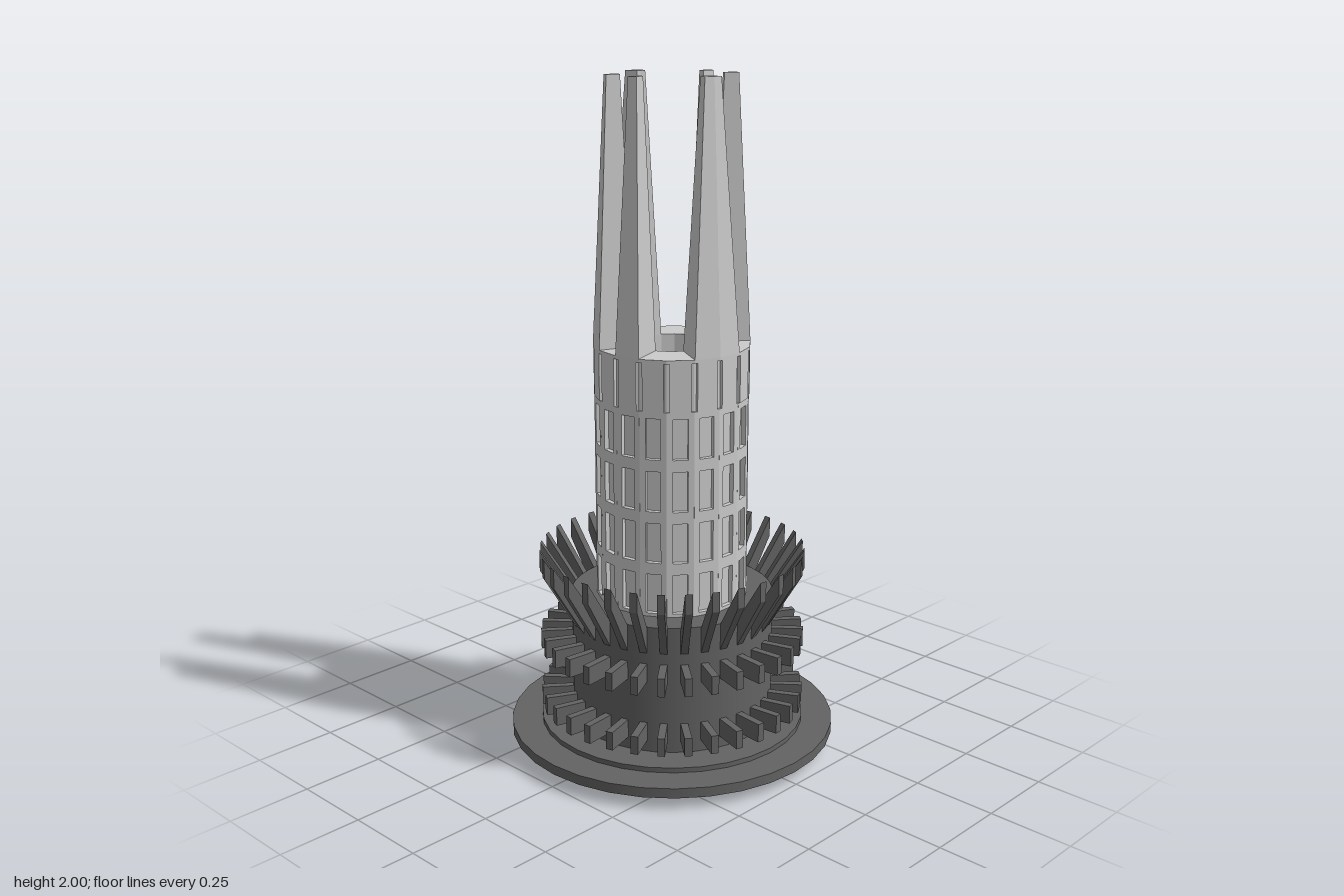
import * as THREE from 'three';

const DEG = Math.PI / 180;
const SIDES = 18;   // facets of the tower
const TEETH = 32;   // teeth and blades round the base
const grey = new THREE.MeshStandardMaterial({ color: 0xcccccc, flatShading: true });
const dark = new THREE.MeshStandardMaterial({ color: 0x636363 });
const darkFlat = new THREE.MeshStandardMaterial({ color: 0x636363, flatShading: true });

function add(parent, name, geometry, material) {
  const mesh = new THREE.Mesh(geometry, material);
  mesh.name = name;
  parent.add(mesh);
  return mesh;
}

const polar = (r, deg) => new THREE.Vector2(r * Math.cos(deg * DEG), r * Math.sin(deg * DEG));

function ngon(r) {
  return Array.from({ length: SIDES }, (_, i) => polar(r, i * 360 / SIDES));
}

// Extrudes a plan outline upwards from y0 to y1
function upright(shape, y0, y1) {
  return new THREE.ExtrudeGeometry(shape, { depth: y1 - y0, bevelEnabled: false })
    .rotateX(-Math.PI / 2).translate(0, y0, 0);
}

// Faceted hollow ring
function tube(rOut, rIn, y0, y1) {
  const shape = new THREE.Shape(ngon(rOut));
  shape.holes.push(new THREE.Path(ngon(rIn)));
  return upright(shape, y0, y1);
}

// Places copies of one geometry round the axis, starting half a step in
function ringOf(parent, name, geometry, material, count) {
  const ring = new THREE.Group();
  ring.name = name + 'Ring';
  for (let i = 0; i < count; i++) {
    add(ring, name, geometry, material).rotation.y = (i + 0.5) * 2 * Math.PI / count;
  }
  parent.add(ring);
}

// Tapered spike standing on the tower facets between two angles
function spikeGeometry(from, to) {
  const step = 360 / SIDES, y0 = 1.235, y1 = 2, taper = 0.36;
  const outer = [], inner = [];
  for (let a = from; a <= to; a += step) {
    outer.push(polar(0.23, a));
    inner.unshift(polar(0.115, a));
  }
  const geo = upright(new THREE.Shape([...outer, ...inner]), y0, y1);
  const c = polar(0.172, (from + to) / 2);
  const p = geo.attributes.position;
  for (let i = 0; i < p.count; i++) {
    if (p.getY(i) < (y0 + y1) / 2) continue;
    p.setX(i, c.x + (p.getX(i) - c.x) * taper);
    p.setZ(i, -c.y + (p.getZ(i) + c.y) * taper);
  }
  geo.computeVertexNormals();
  return geo;
}

export function createModel() {
  const model = new THREE.Group();
  model.name = 'tower';

  // Base: drum and stepped discs
  const disc = (name, r, y0, y1) =>
    add(model, name, new THREE.CylinderGeometry(r, r, y1 - y0, 32).translate(0, (y0 + y1) / 2, 0), dark);
  disc('baseDrum', 0.305, 0, 0.47);
  disc('innerFlange', 0.4, 0.02, 0.08);
  disc('outerFlange', 0.492, 0.035, 0.065);

  // Two rows of square teeth
  for (const y of [0.143, 0.328]) {
    ringOf(model, 'tooth', new THREE.BoxGeometry(0.11, 0.056, 0.022).translate(0.343, y, 0), darkFlat, TEETH);
  }

  // Flared blades round the rim of the drum
  const blade = new THREE.Shape([
    new THREE.Vector2(0.295, 0.375), new THREE.Vector2(0.398, 0.55),
    new THREE.Vector2(0.398, 0.61), new THREE.Vector2(0.295, 0.455),
  ]);
  const bladeGeo = new THREE.ExtrudeGeometry(blade, { depth: 0.022, bevelEnabled: false }).translate(0, 0, -0.011);
  ringOf(model, 'blade', bladeGeo, darkFlat, TEETH);

  // Hollow shaft with a frame of recessed windows
  add(model, 'shaftCore', tube(0.213, 0.115, 0.465, 1.085), grey);
  const half = 0.227 * Math.tan(10 * DEG) * 0.985;
  const panel = new THREE.Shape([
    new THREE.Vector2(-half, 0.465), new THREE.Vector2(half, 0.465),
    new THREE.Vector2(half, 1.085), new THREE.Vector2(-half, 1.085),
  ]);
  for (let row = 0; row < 4; row++) {
    const y = 0.48 + row * 0.155, w = 0.022, h = 0.12;
    panel.holes.push(new THREE.Path([
      new THREE.Vector2(-w, y), new THREE.Vector2(-w, y + h),
      new THREE.Vector2(w, y + h), new THREE.Vector2(w, y),
    ]));
  }
  const panelGeo = new THREE.ExtrudeGeometry(panel, { depth: 0.018, bevelEnabled: false })
    .translate(0, 0, 0.206).rotateY(Math.PI / 2);
  ringOf(model, 'windowPanel', panelGeo, grey, SIDES);

  // Collar with narrow grooves at the corners, closed by a cap
  add(model, 'collarCore', tube(0.22, 0.115, 1.085, 1.225), grey);
  ringOf(model, 'collarPanel', new THREE.BoxGeometry(0.02, 0.14, 0.062).translate(0.216, 1.155, 0), grey, SIDES);
  add(model, 'collarCap', tube(0.23, 0.115, 1.225, 1.235), grey);

  // Crown of spikes, the same on opposite sides
  const spikes = new THREE.Group();
  spikes.name = 'crownSpikes';
  for (const turn of [0, 180]) {
    for (const [from, to] of [[0, 20], [60, 100], [140, 160]]) {
      add(spikes, 'spike', spikeGeometry(from + turn, to + turn), grey);
    }
  }
  model.add(spikes);
  return model;
}
